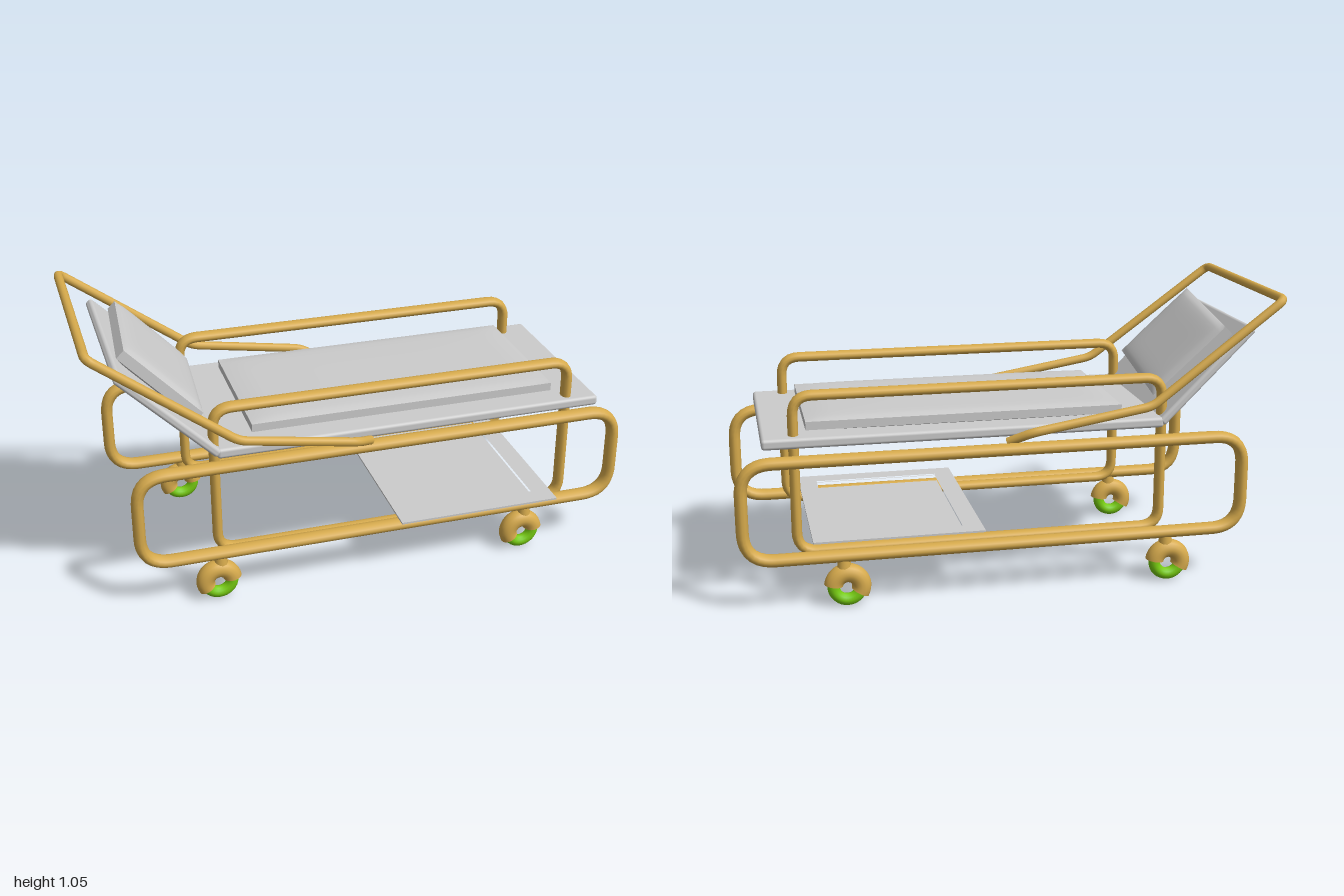
import * as THREE from 'three';
import { RoundedBoxGeometry } from 'three/addons/geometries/RoundedBoxGeometry.js';

const V = (x, y, z) => new THREE.Vector3(x, y, z);

export function createModel() {
  const model = new THREE.Group();
  model.name = 'wheeledBed';
  const gold = new THREE.MeshStandardMaterial({ color: 0xd6aa4c, side: THREE.DoubleSide });
  const green = new THREE.MeshStandardMaterial({ color: 0x77cc11 });
  const grey = new THREE.MeshStandardMaterial({ color: 0xcccccc });

  const add = (name, geometry, material, parent = model) => {
    const mesh = new THREE.Mesh(geometry, material);
    mesh.name = name;
    parent.add(mesh);
    return mesh;
  };

  // Bent tube through corner points, each corner rounded by the given cut
  const bentTube = (points, cut, radius, closed) => {
    const n = points.length;
    const path = new THREE.CurvePath();
    let first = null, last = null;
    points.forEach((p, i) => {
      let a = p, b = p;
      if (closed || (i > 0 && i < n - 1)) {
        const toward = (q) => p.clone().add(q.clone().sub(p).setLength(cut));
        a = toward(points[(i + n - 1) % n]);
        b = toward(points[(i + 1) % n]);
      }
      if (last) path.add(new THREE.LineCurve3(last, a));
      if (a !== b) path.add(new THREE.QuadraticBezierCurve3(a, p, b));
      first = first || a;
      last = b;
    });
    if (closed) path.add(new THREE.LineCurve3(last, first));
    return new THREE.TubeGeometry(path, 200, radius, 12, closed);
  };

  // Upright rounded rectangle of tube, wider in z than in its own plane
  const loopFrame = (name, x0, x1, y0, y1, z, cut, radius, halfWidth) => {
    const corners = [V(x0, y0, 0), V(x1, y0, 0), V(x1, y1, 0), V(x0, y1, 0)];
    const mesh = add(name, bentTube(corners, cut, radius, true), gold);
    mesh.position.z = z;
    mesh.scale.z = halfWidth / radius;
  };
  loopFrame('leftSideFrame', -0.846, 0.974, 0.188, 0.54, 0.346, 0.11, 0.022, 0.03);
  loopFrame('rightSideFrame', -0.846, 0.974, 0.188, 0.54, -0.393, 0.11, 0.022, 0.03);
  loopFrame('leftGuardRail', -0.56, 0.782, 0.183, 0.752, 0.309, 0.07, 0.0185, 0.027);
  loopFrame('rightGuardRail', -0.56, 0.782, 0.183, 0.752, -0.301, 0.07, 0.0185, 0.027);

  // Push handle wrapping round the head end
  add('headHandle', bentTube([
    V(0.0, 0.57, 0.36), V(-0.06, 0.6, 0.415), V(-0.49, 0.672, 0.415), V(-0.982, 1.037, 0.397),
    V(-0.982, 1.037, -0.387), V(-0.49, 0.672, -0.406), V(-0.05, 0.6, -0.406), V(0.03, 0.56, -0.365),
  ], 0.03, 0.0165, false), gold);

  // Flat part of the bed
  add('bedPlatform', new RoundedBoxGeometry(1.45, 0.038, 0.71, 3, 0.012), grey).position.set(0.17, 0.594, 0);

  // Cushion: a box whose thickness swells toward the middle
  const cushion = (w, h, d) => {
    const g = new THREE.BoxGeometry(w, h, d, 24, 2, 24);
    const p = g.attributes.position;
    for (let i = 0; i < p.count; i++) {
      const u = Math.min(1, Math.abs(p.getX(i) * 2 / w));
      const v = Math.min(1, Math.abs(p.getZ(i) * 2 / d));
      const swell = Math.sqrt((1 - u ** 6) * (1 - v ** 6));
      p.setY(i, p.getY(i) * (0.55 + 0.45 * swell));
    }
    g.computeVertexNormals();
    return g;
  };
  add('mattress', cushion(1.15, 0.055, 0.56), grey).position.set(0.162, 0.637, -0.005);

  // Raised backrest with a slightly turned pillow; the group's -x runs up the slope
  const back = new THREE.Group();
  back.name = 'backrestGroup';
  back.position.set(-0.55, 0.594, 0);
  back.rotation.z = -Math.PI / 4;
  model.add(back);
  add('backrest', new RoundedBoxGeometry(0.48, 0.032, 0.71, 3, 0.012), grey, back).position.set(-0.235, 0, 0);
  const pillow = add('pillow', cushion(0.36, 0.07, 0.555), grey, back);
  pillow.position.set(-0.262, 0.05, -0.02);
  pillow.rotation.y = -0.12;

  // Storage tray: thin rim with a sunken basin
  const rect = (target, x0, x1, z0, z1) =>
    target.moveTo(x0, -z0).lineTo(x1, -z0).lineTo(x1, -z1).lineTo(x0, -z1).closePath();
  const flatRing = (outer, inner, height) => {
    const shape = rect(new THREE.Shape(), ...outer);
    if (inner) shape.holes.push(rect(new THREE.Path(), ...inner));
    const g = new THREE.ExtrudeGeometry(shape, { depth: height, bevelEnabled: false });
    return g.rotateX(-Math.PI / 2);
  };
  const tray = new THREE.Group();
  tray.name = 'storageTray';
  model.add(tray);
  const hole = [0.18, 0.66, -0.29, 0.34], wall = [0.174, 0.666, -0.296, 0.346];
  add('trayRim', flatRing([0.11, 0.73, -0.36, 0.412], hole, 0.007), grey, tray).position.y = 0.224;
  add('trayWall', flatRing(wall, hole, 0.025), grey, tray).position.y = 0.2;
  add('trayFloor', flatRing(wall, null, 0.006), grey, tray).position.y = 0.2;

  // Casters: full tyre ring under a half-ring fender on a stem
  const start = 0.15, sweep = 3.5, ring = 0.05, fender = 0.034;
  for (const x of [-0.57, 0.617]) {
    for (const z of [0.346, -0.393]) {
      const caster = new THREE.Group();
      caster.name = 'caster';
      caster.position.set(x, 0.073, z);
      model.add(caster);
      add('tyre', new THREE.TorusGeometry(ring, 0.022, 12, 32), green, caster);
      add('fender', new THREE.TorusGeometry(ring, fender, 16, 24, sweep).rotateZ(start), gold, caster);
      for (const angle of [start, start + sweep]) {
        const cap = add('fenderEnd', new THREE.CircleGeometry(fender, 16), gold, caster);
        cap.rotation.set(Math.PI / 2, 0, angle, 'ZXY');
        cap.position.set(Math.cos(angle) * ring, Math.sin(angle) * ring, 0);
      }
      add('stem', new THREE.CylinderGeometry(0.02, 0.026, 0.05, 16), gold, caster).position.set(0.01, 0.092, 0);
    }
  }
  return model;
}
